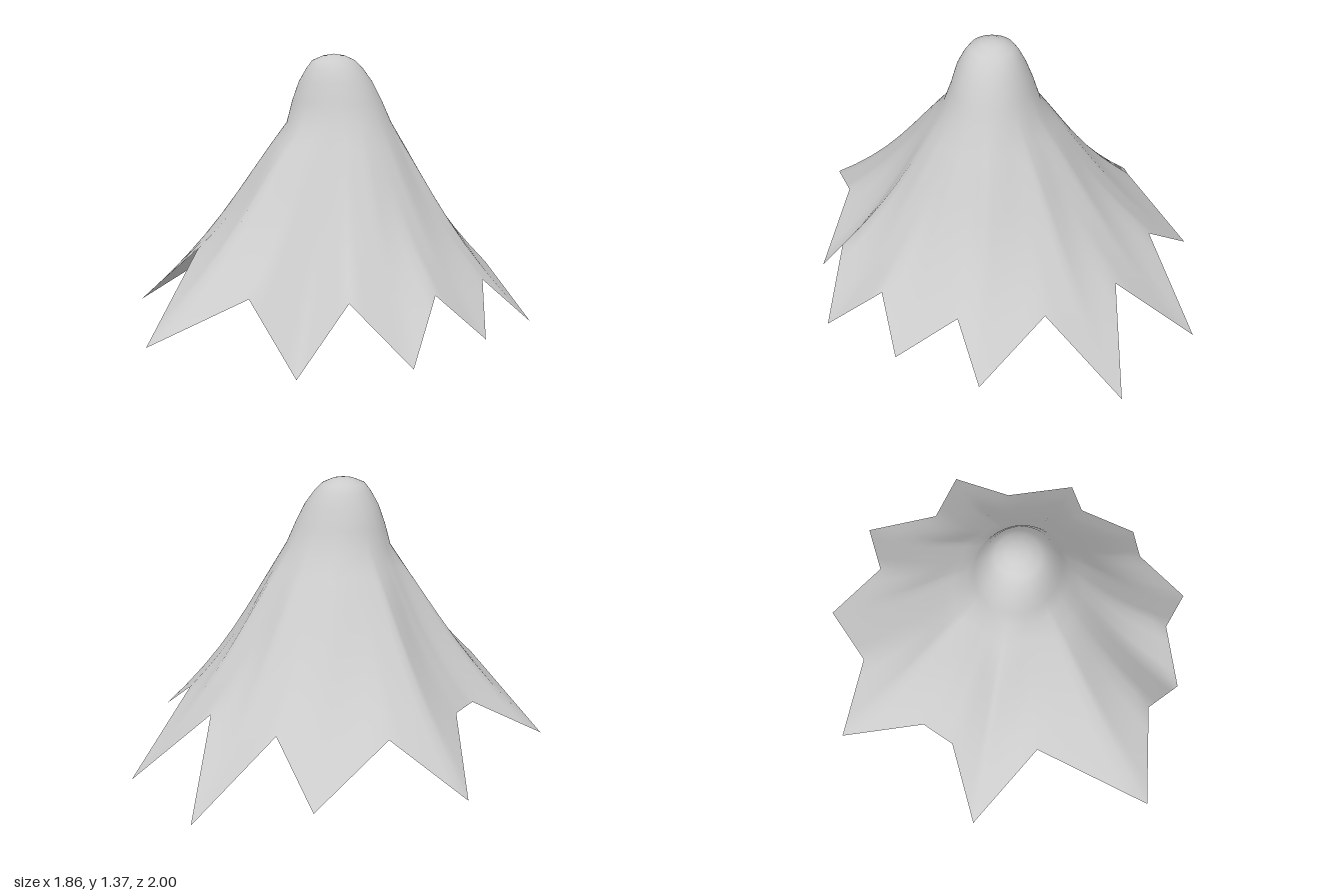
import * as THREE from 'three';

// Jagged hem, alternating tips and notches, running back -> left -> front -> right
const HEM = [
  [0.25, 0.0, -1.0], [0.36, 0.36, -0.62],
  [0.74, 0.01, -0.72], [0.64, 0.36, -0.34],
  [0.93, 0.15, -0.10], [0.74, 0.36, 0.04],
  [0.84, 0.16, 0.31], [0.645, 0.36, 0.42],
  [0.65, 0.11, 0.70], [0.36, 0.36, 0.70],
  [0.20, 0.06, 0.88], [-0.06, 0.36, 0.80],
  [-0.45, 0.155, 1.0], [-0.525, 0.47, 0.42],
  [-0.93, 0.16, 0.28], [-0.665, 0.36, 0.03], [-0.645, 0.36, -0.14],
  [-0.84, 0.125, -0.52], [-0.49, 0.36, -0.565],
  [-0.29, 0.12, -0.90], [-0.03, 0.36, -0.73],
].map((p) => new THREE.Vector3(...p));

// Ellipses of the rounded crown: height, centre x, centre z, radius x, radius z
const CROWN = [
  [1.05, 0.025, 0.035, 0.25, 0.225],
  [1.15, 0.015, 0.035, 0.215, 0.19],
  [1.24, 0.01, 0.04, 0.175, 0.16],
  [1.30, 0.005, 0.04, 0.135, 0.13],
  [1.34, 0, 0.04, 0.1, 0.1],
  [1.362, 0, 0.037, 0.05, 0.05],
];
const APEX = new THREE.Vector3(0, 1.37, 0.035);
const STEPS = 4; // columns per hem edge
const DROP = 8; // rows between hem and crown

function crownPoint([y, cx, cz, rx, rz], angle) {
  return new THREE.Vector3(cx + rx * Math.cos(angle), y, cz + rz * Math.sin(angle));
}

// One column of the cloth, from the hem up to the last crown ring
function column(hem) {
  const angle = Math.atan2(hem.z - APEX.z, hem.x);
  const neck = crownPoint(CROWN[0], angle);
  const points = [];
  for (let i = 0; i < DROP; i++) {
    const t = i / DROP;
    const p = hem.clone().lerp(neck, t);
    const sag = 1 - 0.08 * Math.sin(Math.PI * t);
    p.x *= sag;
    p.z = APEX.z + (p.z - APEX.z) * sag;
    points.push(p);
  }
  CROWN.forEach((ring) => points.push(crownPoint(ring, angle)));
  return points;
}

function drapeGeometry() {
  const columns = [];
  HEM.forEach((p, i) => {
    const next = HEM[(i + 1) % HEM.length];
    for (let s = 0; s < STEPS; s++) columns.push(column(p.clone().lerp(next, s / STEPS)));
  });
  const rows = columns[0].length;
  const apex = columns.length * rows;
  const index = [];
  columns.forEach((_, c) => {
    const a = c * rows;
    const b = ((c + 1) % columns.length) * rows;
    for (let r = 0; r < rows - 1; r++) {
      index.push(a + r, a + r + 1, b + r, b + r, a + r + 1, b + r + 1);
    }
    index.push(a + rows - 1, apex, b + rows - 1);
  });
  const geometry = new THREE.BufferGeometry().setFromPoints([...columns.flat(), APEX]);
  geometry.setIndex(index);
  geometry.computeVertexNormals();
  return geometry;
}

export function createModel() {
  const group = new THREE.Group();
  group.name = 'raggedCape';
  const cloth = new THREE.Mesh(
    drapeGeometry(),
    new THREE.MeshStandardMaterial({ color: 0xcccccc, side: THREE.DoubleSide }),
  );
  cloth.name = 'drapedCloth';
  group.add(cloth);
  return group;
}
